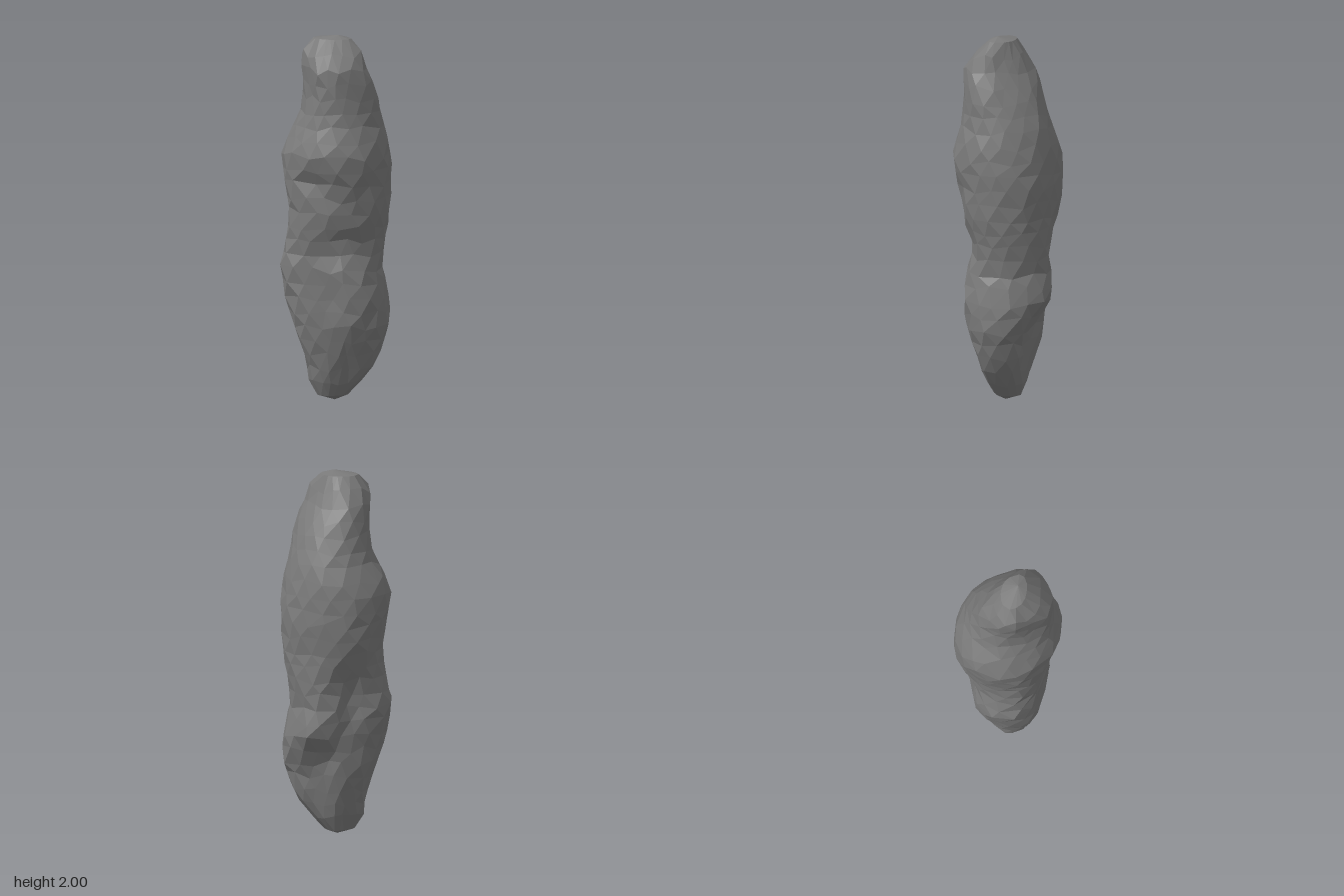
import * as THREE from 'three';

// Cross-sections: height, then reach towards 8 compass directions
// (+x, +x+z, +z, -x+z, -x, -x-z, -z, +x-z)
const SECTIONS = [
  [0.03, .07, .07, .10, .11, .09, .06, .07, .06],
  [0.09, .13, .11, .13, .15, .14, .09, .11, .11],
  [0.22, .23, .16, .16, .17, .155, .14, .13, .21],
  [0.43, .285, .24, .20, .26, .22, .21, .18, .285],
  [0.60, .28, .26, .19, .28, .25, .20, .29, .285],
  [0.74, .24, .23, .21, .30, .285, .19, .26, .25],
  [0.86, .25, .20, .21, .27, .25, .19, .265, .27],
  [1.04, .285, .27, .245, .26, .25, .27, .265, .29],
  [1.18, .295, .295, .25, .28, .27, .295, .28, .30],
  [1.32, .305, .31, .295, .29, .305, .30, .275, .285],
  [1.40, .295, .30, .28, .27, .30, .285, .275, .275],
  [1.55, .255, .25, .24, .20, .20, .22, .235, .235],
  [1.70, .25, .24, .24, .175, .175, .19, .17, .18],
  [1.82, .205, .24, .245, .19, .18, .16, .10, .12],
  [1.93, .16, .16, .17, .18, .165, .09, .06, .07],
  [1.98, .10, .10, .11, .12, .11, .05, .03, .05],
];

// Hollows: angle, height, depth
const DENTS = [
  [1.6, 1.21, .03], [0.6, 1.20, .02], [1.0, 1.08, .03], [1.1, 0.87, .02], [1.65, 0.80, .015],
  [2.2, 0.42, .025], [4.6, 0.46, .025], [5.2, 0.36, .025], [3.9, 0.52, .02],
];

const RINGS = 26, SIDES = 16;

function cubic(a, b, c, d, t) {
  return b + 0.5 * t * (c - a + t * (2 * a - 5 * b + 4 * c - d + t * (3 * (b - c) + d - a)));
}

// Reach at a height, interpolated between sections
function sectionAt(y) {
  let k = 0;
  while (k < SECTIONS.length - 2 && SECTIONS[k + 1][0] < y) k++;
  const a = SECTIONS[k], b = SECTIONS[k + 1];
  const t = THREE.MathUtils.clamp((y - a[0]) / (b[0] - a[0]), 0, 1);
  return a.slice(1).map((v, i) => THREE.MathUtils.lerp(v, b[i + 1], t));
}

// Surface point at an angle and height
function surfacePoint(angle, y, bump) {
  const reach = sectionAt(y);
  const cx = (reach[0] - reach[4]) / 2, cz = (reach[2] - reach[6]) / 2;
  const radii = reach.map((v, i) => {
    const a = i * Math.PI / 4;
    return v - cx * Math.cos(a) - cz * Math.sin(a);
  });
  const s = ((angle / (Math.PI / 4)) % 8 + 8) % 8;
  const i = Math.floor(s);
  let r = cubic(radii[(i + 7) % 8], radii[i], radii[(i + 1) % 8], radii[(i + 2) % 8], s - i);
  for (const [da, dy, depth] of DENTS) {
    const off = Math.atan2(Math.sin(angle - da), Math.cos(angle - da)) / 0.4;
    r -= depth * Math.exp(-off * off - ((y - dy) / 0.07) ** 2);
  }
  r *= 1 + bump;
  return [cx + r * Math.cos(angle), y, cz + r * Math.sin(angle)];
}

function seeded(seed) {
  return () => {
    seed = (seed * 16807) % 2147483647;
    return seed / 2147483647 - 0.5;
  };
}

function rockGeometry() {
  const rand = seeded(4711);
  const positions = [], index = [];

  // Staggered rings with a little irregularity
  for (let r = 0; r < RINGS; r++) {
    const edge = r === 0 || r === RINGS - 1;
    const ringY = 0.03 + 1.95 * r / (RINGS - 1);
    for (let i = 0; i < SIDES; i++) {
      const angle = (i + (r % 2) / 2 + rand() * 0.4) * 2 * Math.PI / SIDES;
      const y = ringY + (edge ? 0 : rand() * 0.04);
      positions.push(...surfacePoint(angle, y, rand() * 0.03));
    }
  }
  const at = (r, i) => r * SIDES + i % SIDES;
  for (let r = 0; r < RINGS - 1; r++) {
    for (let i = 0; i < SIDES; i++) {
      const a = at(r, i), b = at(r, i + 1), c = at(r + 1, i), d = at(r + 1, i + 1);
      if (r % 2) index.push(a, d, b, a, c, d);
      else index.push(a, c, b, b, c, d);
    }
  }

  // Closing points at foot and tip
  const foot = RINGS * SIDES, tip = foot + 1;
  positions.push(0, 0, 0.02, 0.03, 2, 0.05);
  for (let i = 0; i < SIDES; i++) {
    index.push(foot, at(0, i), at(0, i + 1));
    index.push(tip, at(RINGS - 1, i + 1), at(RINGS - 1, i));
  }

  const geometry = new THREE.BufferGeometry();
  geometry.setAttribute('position', new THREE.Float32BufferAttribute(positions, 3));
  geometry.setIndex(index);
  geometry.computeVertexNormals();
  return geometry;
}

export function createModel() {
  const group = new THREE.Group();
  const material = new THREE.MeshStandardMaterial({ color: 0x7a7a7a, flatShading: true });
  const rock = new THREE.Mesh(rockGeometry(), material);
  rock.name = 'rockPillar';
  group.add(rock);
  return group;
}
